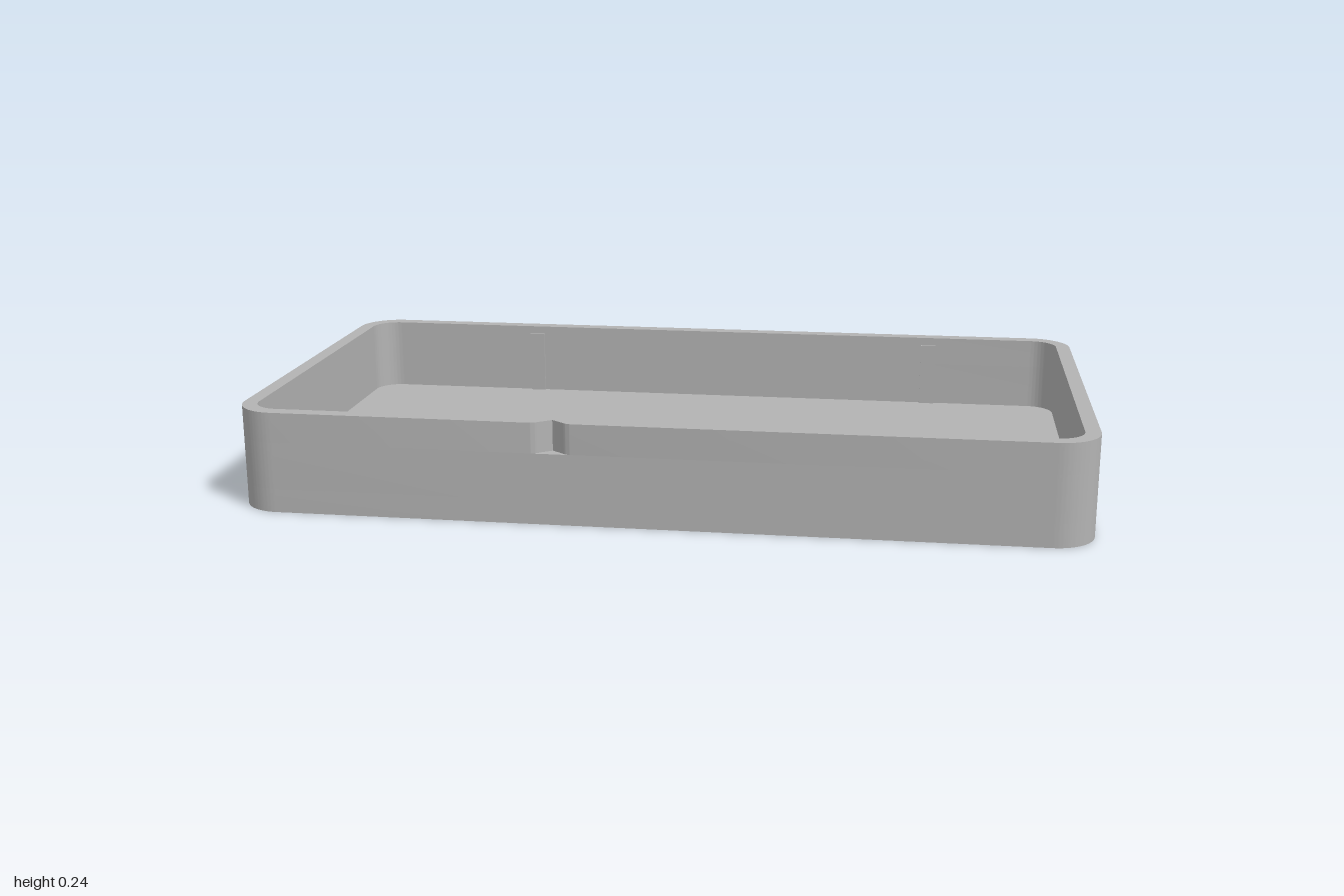
import * as THREE from 'three';
import { toCreasedNormals } from 'three/addons/utils/BufferGeometryUtils.js';

const W = 1, D = 0.527, H = 0.243;      // half width, half depth, height
const WALL = 0.036, R = 0.1;            // wall thickness, corner radius
const FLOOR = 0.057, NOTCH_Y = 0.17, NOTCH_X = -0.235;

// Rounded rectangle in plan; shape y becomes -z once laid flat
function outline(path, w, d, r, notch) {
  path.moveTo(-w + r, -d);
  if (notch) {
    // V-shaped notch with softly flared lips
    path.lineTo(NOTCH_X - 0.052, -d);
    path.quadraticCurveTo(NOTCH_X - 0.036, -d, NOTCH_X - 0.026, -d + 0.011);
    path.lineTo(NOTCH_X, -d + 0.03);
    path.lineTo(NOTCH_X + 0.026, -d + 0.011);
    path.quadraticCurveTo(NOTCH_X + 0.036, -d, NOTCH_X + 0.052, -d);
  }
  path.lineTo(w - r, -d);
  path.absarc(w - r, -d + r, r, -Math.PI / 2, 0);
  path.lineTo(w, d - r);
  path.absarc(w - r, d - r, r, 0, Math.PI / 2);
  path.lineTo(-w + r, d);
  path.absarc(-w + r, d - r, r, Math.PI / 2, Math.PI);
  path.lineTo(-w, -d + r);
  path.absarc(-w + r, -d + r, r, Math.PI, Math.PI * 1.5);
  return path;
}

// One horizontal layer of the tray between two heights
function layer(y0, y1, hollow, notch) {
  const shape = outline(new THREE.Shape(), W, D, R, notch);
  if (hollow) shape.holes.push(outline(new THREE.Path(), W - WALL, D - WALL, R - WALL, false));
  const geo = new THREE.ExtrudeGeometry(shape, { depth: y1 - y0, bevelEnabled: false, curveSegments: 16 });
  geo.rotateX(-Math.PI / 2);
  geo.translate(0, y0, 0);
  return toCreasedNormals(geo, 0.5);
}

export function createModel() {
  const group = new THREE.Group();
  group.name = 'tray';
  const grey = new THREE.MeshStandardMaterial({ color: 0xb3b3b3 });
  grey.name = 'grey plastic';

  const add = (name, geo) => {
    const mesh = new THREE.Mesh(geo, grey);
    mesh.name = name;
    group.add(mesh);
    return mesh;
  };

  add('floor', layer(0, FLOOR, false, false));
  add('lowerWall', layer(FLOOR, NOTCH_Y, true, false));
  add('notchedRim', layer(NOTCH_Y, H, true, true));

  // Slim upright ribs inside the long walls
  const ribTop = 0.222, ribDepth = 0.007;
  for (const side of [-1, 1]) {
    for (const x of [-0.495, 0.62]) {
      const rib = add(side > 0 ? 'frontRib' : 'backRib',
        new THREE.BoxGeometry(0.04, ribTop - FLOOR, ribDepth));
      rib.position.set(x, (ribTop + FLOOR) / 2, side * (D - WALL - ribDepth / 2));
    }
  }
  return group;
}
